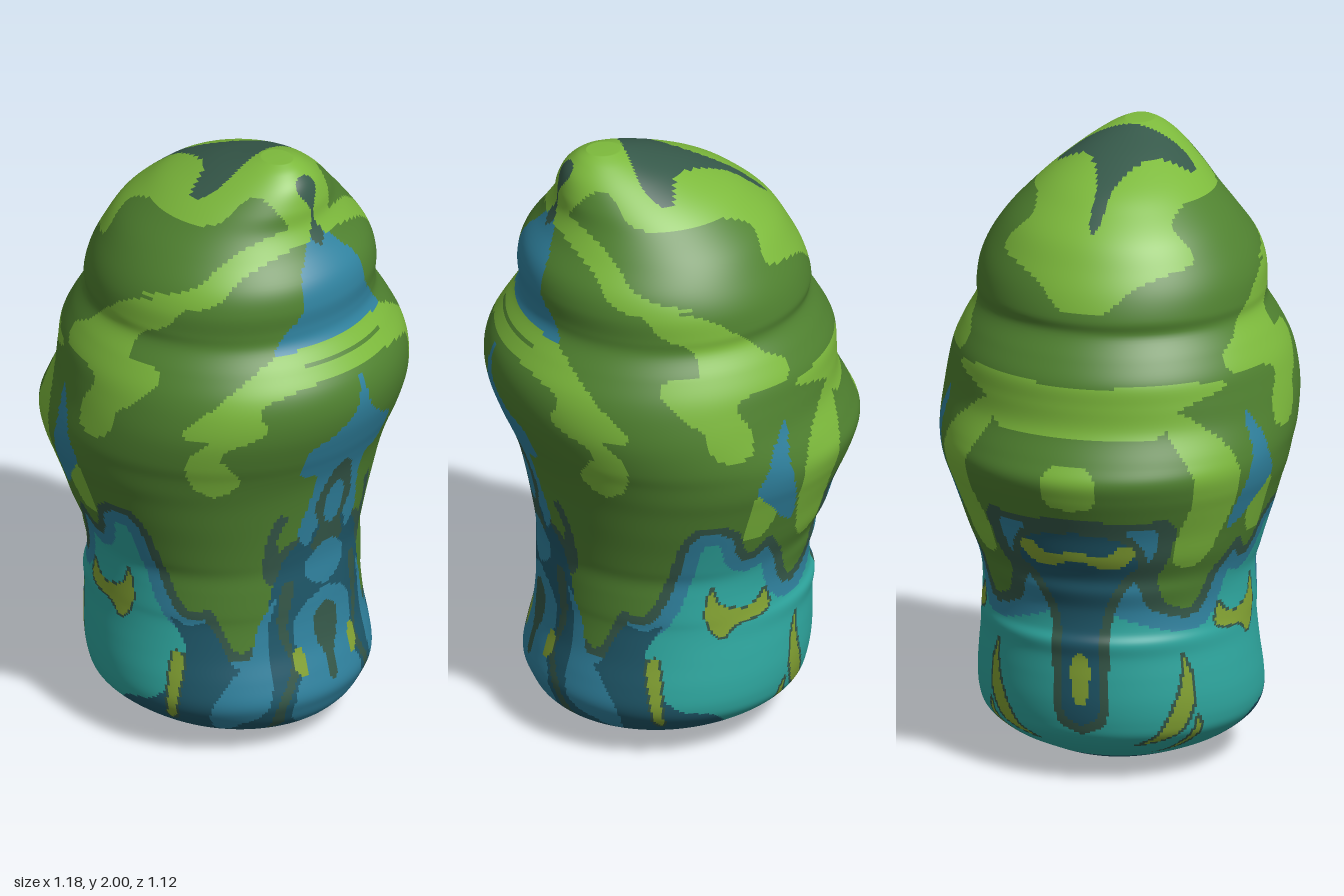
import * as THREE from 'three';

const mat = (name, color) => Object.assign(new THREE.MeshStandardMaterial({ color }), { name });
const materials = [
  mat('leafGreen', 0x508230), mat('lime', 0x7dba3c), mat('mossDark', 0x36594a),
  mat('teal', 0x2faaa2), mat('blue', 0x3083a0), mat('deepTeal', 0x1f586a), mat('olive', 0x86a634),
];
const [GREEN, LIME, MOSS, TEAL, BLUE, DEEP, OLIVE] = materials.keys();

// Body sections from bottom to top: height, left edge, right edge, half depth
const sections = [
  [0, -.09, .06, .07], [.03, -.2, .22, .2], [.06, -.27, .36, .3], [.1, -.35, .42, .37],
  [.15, -.405, .45, .425], [.2, -.425, .467, .445], [.27, -.437, .455, .447], [.35, -.44, .435, .44],
  [.42, -.44, .427, .433], [.47, -.447, .425, .43], [.51, -.432, .425, .43], [.58, -.432, .425, .428],
  [.64, -.45, .425, .43], [.69, -.455, .43, .445], [.76, -.49, .442, .468], [.84, -.515, .457, .495],
  [.92, -.55, .475, .52], [.98, -.575, .493, .54], [1.04, -.59, .518, .552], [1.1, -.565, .545, .56],
  [1.19, -.522, .578, .557], [1.27, -.515, .59, .545], [1.34, -.51, .577, .527], [1.41, -.475, .535, .495],
  [1.48, -.432, .488, .457], [1.53, -.435, .48, .455], [1.6, -.415, .485, .448], [1.67, -.38, .468, .42],
  [1.75, -.33, .412, .365], [1.82, -.255, .375, .3], [1.88, -.17, .367, .235], [1.94, -.03, .347, .155],
  [1.98, .1, .31, .09], [2, .17, .275, .045],
];

// Flat projections for the painted patches, in hundredths; both halves (+z and -z) match
const views = {
  front: (p) => [p.x * 100, p.y * 100],
  right: (p) => (p.x > 0.05 ? [Math.abs(p.z) * 100, p.y * 100] : null),
  left: (p) => (p.x < -0.1 ? [Math.abs(p.z) * 100, p.y * 100] : null),
  top: (p) => (p.y > 1.55 ? [p.x * 100, Math.abs(p.z) * 100] : null),
};
const patches = [];
function paint(view, color, flat, inset = 0) {
  const pts = [];
  for (let i = 0; i < flat.length; i += 2) pts.push(new THREE.Vector3(flat[i], flat[i + 1], 0));
  const outline = new THREE.CatmullRomCurve3(pts, true).getPoints(pts.length * 5);
  patches.push({ view, color, inset, outline, box: new THREE.Box3().setFromPoints(outline) });
}
function covers({ outline, inset, box }, x, y) {
  if (x < box.min.x || x > box.max.x || y < box.min.y || y > box.max.y) return false;
  let inside = false, near = Infinity;
  for (let i = 1; i < outline.length; i++) {
    const a = outline[i - 1], b = outline[i];
    const dx = b.x - a.x, dy = b.y - a.y;
    if ((a.y > y) !== (b.y > y) && x < a.x + ((y - a.y) * dx) / dy) inside = !inside;
    if (inset) {
      const t = THREE.MathUtils.clamp(((x - a.x) * dx + (y - a.y) * dy) / (dx * dx + dy * dy || 1), 0, 1);
      near = Math.min(near, Math.hypot(a.x + t * dx - x, a.y + t * dy - y));
    }
  }
  return inside && near > inset;
}
function colorAt(p) {
  for (let i = patches.length - 1; i >= 0; i--) {
    const q = views[patches[i].view](p);
    if (q && covers(patches[i], q[0], q[1])) return patches[i].color;
  }
  return GREEN;
}

function definePaint() {
  patches.length = 0;
  // Crown
  paint('top', LIME, [-43, -8, -42, 8, -37, 16, -30, 25, -22, 31, -20, 23, -10, 24, 0, 28, 12, 28, 20, 24, 25, 15, 35, 10, 36, -8]);
  paint('top', MOSS, [-30, -1, -30, 1, -15, 3, -3, 8, 3, 14, 5, 21, 9, 22, 13, 18, 15, 10, 14, -5, 0, -8]);
  // Light leaf bands
  paint('front', LIME, [28, 176, 24, 169, 12, 163, 1, 160, -9, 153, -18, 145, -26, 140, -26, 135, -12, 134, -7, 131,
    -11, 124, -12, 116, -7, 113, 1, 116, 4, 124, 12, 131, 17, 139, 12, 142, 4, 142, 6, 150, 14, 154, 22, 164]);
  paint('front', LIME, [58, 140, 48, 142, 42, 137, 32, 129, 39, 128, 35, 121, 28, 113, 27, 103, 32, 98, 39, 105, 37, 116, 48, 124, 46, 132]);
  paint('front', LIME, [-42, 125, -45, 113, -42, 92, -38, 74, -32, 73, -29, 92, -33, 113, -38, 121]);
  paint('front', LIME, [-54, 132, -39, 134, -28, 132, -41, 126, -46, 118, -54, 118]);
  paint('front', LIME, [-18, 104, -22, 95, -18, 82, -11, 80, -12, 89, -14, 100]);
  paint('front', BLUE, [-24, 123, -20, 116, -17, 107, -14, 100, -19, 93, -23, 87, -27, 84, -28, 95, -25, 108]);
  // Stem below the hanging drips, with a dark rim
  const stem = [-70, 100, -52, 90, -46, 91, -42, 86, -39, 70, -35, 60, -29, 58, -25, 71, -20, 79, -13, 74, -9, 84,
    -2, 88, 6, 87, 10, 80, 12, 68, 16, 57, 20, 52, 25, 53, 28, 46, 32, 38, 35, 40, 38, 55, 39, 66, 42, 76, 60, 76, 70, -20, -70, -20];
  paint('front', MOSS, stem);
  paint('front', BLUE, stem, 3);
  paint('front', TEAL, stem, 7.5);
  paint('front', DEEP, [14, 49, 19, 39, 19, 31, 9, 20, -2, 17, -10, 7, -14, 0, -5, -10, 60, -10, 60, 50, 39, 48, 36, 35, 32, 33, 28, 41, 24, 48, 19, 47]);
  paint('front', BLUE, [38, 42, 32, 30, 26, 15, 24, 7, 28, 8, 35, 20, 40, 34]);
  paint('front', DEEP, [-30, 3, 0, 4, 40, 5, 40, -8, -30, -8]);
  // Spots on the stem
  const spots = [
    [-22, 50, -20, 58, -16, 54, -9, 54, -4, 57, -2, 63, 1, 55, 0, 48, -5, 43, -10, 47, -18, 48],
    [-32, 44, -29, 34, -29, 23, -31, 15, -35, 12, -35, 23, -33, 34],
    [15, 38, 19, 37, 19, 26, 17, 15, 13, 12, 14, 23], [-28, 23, -25, 18, -24, 7, -27, 12],
  ];
  for (const spot of spots) {
    paint('front', MOSS, spot);
    paint('front', OLIVE, spot, 0.8);
  }
  // Right side: bands, blue streaks and dark seams
  paint('right', LIME, [-10, 184, 10, 183, 25, 178, 38, 168, 44, 163, 39, 162, 28, 171, 12, 177, -10, 178]);
  paint('right', LIME, [-10, 151, 15, 149, 30, 143, 44, 132, 50, 122, 45, 121, 40, 130, 28, 138, 14, 143, -10, 144]);
  paint('right', BLUE, [-10, 178, 4, 178, 8, 174, 13, 168, 15, 158, 20, 152, 24, 146, 15, 147, -10, 150]);
  paint('right', MOSS, [-6, 196, 3, 196, 4, 193, 1, 188, 1, 182, 3, 179, 1, 176, -6, 175]);
  paint('right', DEEP, [-10, 103, 4, 102, 9, 92, 12, 76, 16, 70, 19, 62, 22, 45, 24, 36, 25, -5, -10, -5]);
  paint('right', MOSS, [18, 86, 21, 87, 23, 78, 22, 64, 20, 60, 17, 68, 20, 78]);
  paint('right', BLUE, [-6, 138, 0, 136, 3, 125, 10, 118, 18, 113, 19, 106, 17, 102, 11, 100, 11, 90, 13, 78, 9, 72, 5, 80, -6, 80]);
  paint('right', MOSS, [-8, 103, 2, 102, 6, 95, 8, 86, 5, 78, 7, 70, -8, 70]);
  paint('right', BLUE, [-8, 94, 2, 93, 4, 86, 2, 79, -8, 78]);
  paint('right', BLUE, [-8, 72, 4, 70, 9, 64, 6, 58, -8, 55]);
  paint('right', BLUE, [-8, 53, 5, 53, 12, 47, 13, 39, 10, 30, 15, 22, 13, 11, -8, 8]);
  paint('right', MOSS, [-8, 50, 4, 47, 5, 39, 2, 31, 1, 23, -8, 22]);
  paint('right', MOSS, [13, 60, 16, 60, 18, 44, 15, 32, 21, 18, 18, 8, 16, 10, 18, 18, 13, 30, 15, 44]);
  paint('right', BLUE, [18, 56, 21, 45, 21, 32, 25, 15, 30, 12, 30, 24, 26, 36, 23, 48]);
  paint('right', OLIVE, [11, 37, 14, 35, 13, 28, 10, 27]);
  // Left side
  paint('left', LIME, [-8, 108, 7, 108, 9, 102, 7, 96, -8, 96]);
  const seam = [-12, 87, 8, 88, 18, 85, 22, 74, 15, 66, 10, 55, 9, 35, 7, 20, -12, 18];
  paint('left', MOSS, seam);
  paint('left', DEEP, seam, 3);
  paint('left', OLIVE, [-8, 77, 4, 75, 11, 73, 19, 79, 16, 82, 9, 78, -8, 81]);
  paint('left', OLIVE, [-5, 44, 2, 43, 3, 34, 1, 27, -5, 27]);
}

// Lofted skin, each quad sorted into a material by its painted patch
function bodyGeometry() {
  const rows = 220, around = 312;
  const [left, right, depth] = [1, 2, 3].map(
    (k) => new THREE.SplineCurve(sections.map((s) => new THREE.Vector2(s[k], s[0]))));
  const pos = [], faces = materials.map(() => []);
  for (let i = 0; i <= rows; i++) {
    const l = left.getPoint(i / rows), r = right.getPoint(i / rows).x, d = depth.getPoint(i / rows).x;
    for (let j = 0; j < around; j++) {
      const a = (j / around) * Math.PI * 2;
      pos.push((l.x + r) / 2 + ((r - l.x) / 2) * Math.cos(a), l.y, d * Math.sin(a));
    }
  }
  const p = new THREE.Vector3(), q = new THREE.Vector3();
  for (let i = 0; i < rows; i++) {
    for (let j = 0; j < around; j++) {
      const k = (j + 1) % around;
      const a = i * around + j, b = i * around + k, c = a + around, d = b + around;
      p.fromArray(pos, a * 3).add(q.fromArray(pos, d * 3)).multiplyScalar(0.5);
      faces[colorAt(p)].push(a, c, b, b, c, d);
    }
  }
  const tip = pos.length / 3, last = rows * around;
  pos.push(0.222, 2, 0);
  for (let j = 0; j < around; j++) faces[LIME].push(tip, last + ((j + 1) % around), last + j);

  const geo = new THREE.BufferGeometry();
  geo.setAttribute('position', new THREE.Float32BufferAttribute(pos, 3));
  geo.setIndex(faces.flat());
  let start = 0;
  faces.forEach((f, m) => {
    if (f.length) geo.addGroup(start, f.length, m);
    start += f.length;
  });
  geo.computeVertexNormals();
  return geo;
}

export function createModel() {
  const model = new THREE.Group();
  model.name = 'mossyStump';
  definePaint();
  const body = new THREE.Mesh(bodyGeometry(), materials);
  body.name = 'body';
  model.add(body);

  // Two-tone foot plate closing the bottom
  [[TEAL, Math.PI / 2, 'footPlateTeal'], [OLIVE, -Math.PI / 2, 'footPlateOlive']].forEach(([color, from, name]) => {
    const half = new THREE.Mesh(new THREE.CircleGeometry(0.075, 24, from, Math.PI), materials[color]);
    half.name = name;
    half.rotation.x = Math.PI / 2;
    half.position.set(-0.015, 0, 0);
    model.add(half);
  });
  return model;
}
